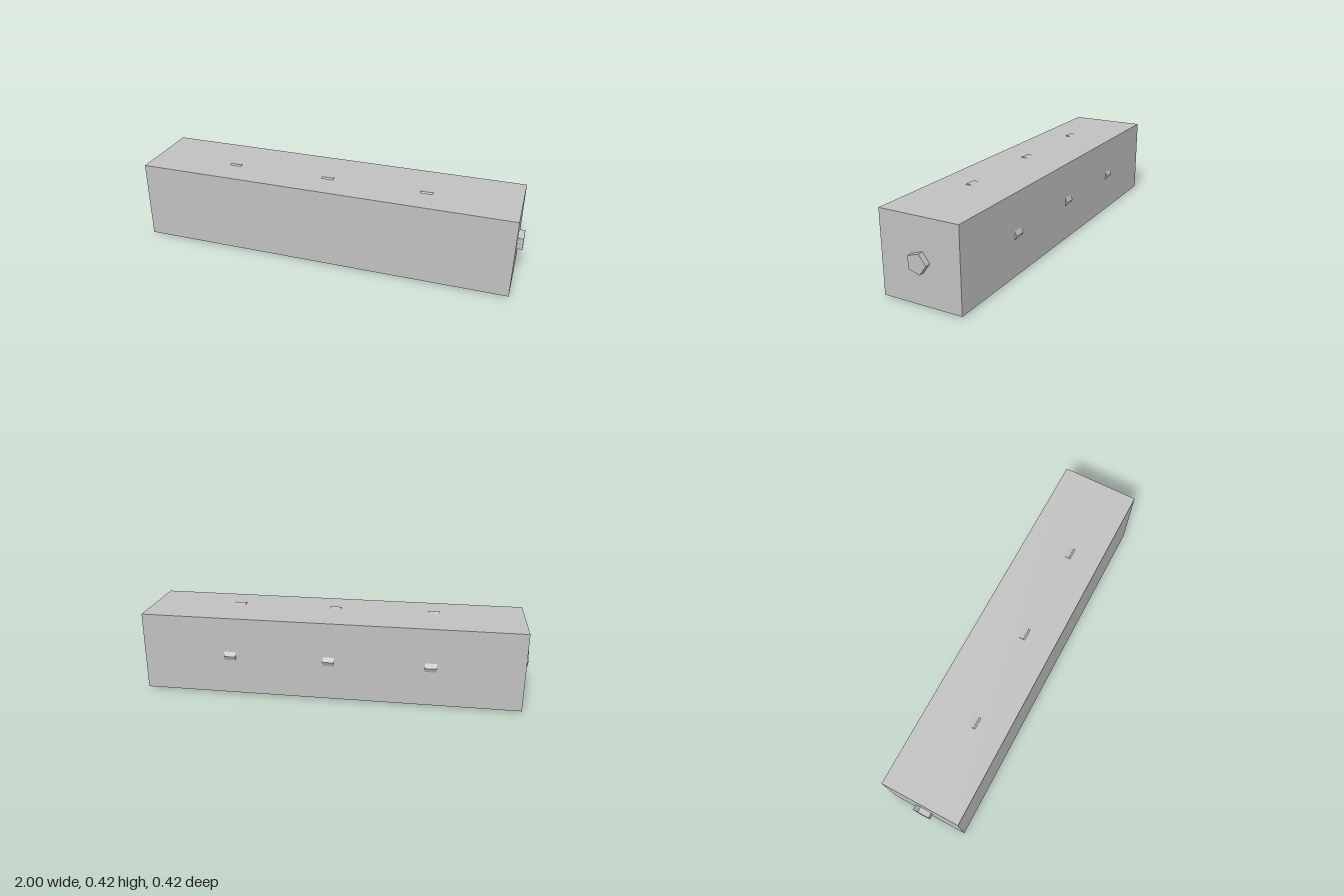
import * as THREE from 'three';

const CENTER_Y = 0.2105;
const CENTER_Z = 0.0055;

export function createModel() {
  const model = new THREE.Group();
  const grey = new THREE.MeshStandardMaterial({ color: 0xc0c0c0 });
  grey.name = 'lightGrey';
  grey.flatShading = true;

  const add = (name, geometry, x = 0) => {
    const mesh = new THREE.Mesh(geometry, grey);
    mesh.name = name;
    mesh.position.set(x, CENTER_Y, CENTER_Z);
    model.add(mesh);
  };

  // Prism lying along x, with one corner pointing to the back
  const prism = (radius, length, sides) =>
    new THREE.CylinderGeometry(radius, radius, length, sides, 1, false, Math.PI).rotateZ(Math.PI / 2);

  // Long square beam
  add('beam', new THREE.BoxGeometry(1.944, 0.408, 0.409));

  // Five-sided axle stubs at both ends
  for (const side of [-1, 1]) {
    add(side > 0 ? 'leftAxleStub' : 'rightAxleStub', prism(0.051, 0.04, 5), side * 0.98);
  }

  // Seven-sided bands whose corners poke through the top, back and bottom
  for (const x of [-0.513, 0, 0.513]) {
    add('band', prism(0.2155, 0.06, 7), x);
  }

  return model;
}
